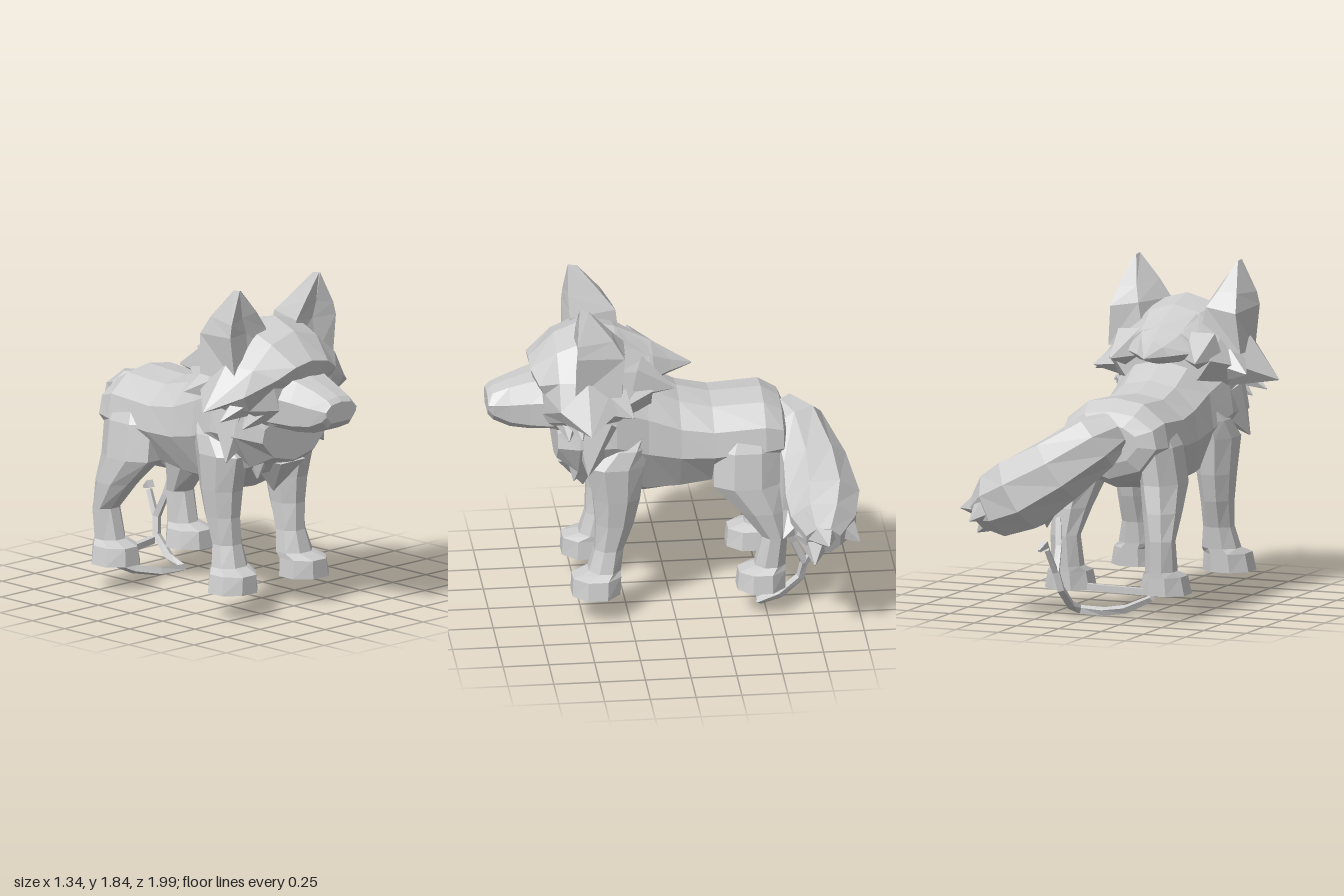
import * as THREE from 'three';

const C = -0.125; // x of the animal's plane of symmetry
const fur = new THREE.MeshStandardMaterial({ color: 0xcccccc, flatShading: true });
fur.name = 'greyFur';
const V = (x, y, z) => new THREE.Vector3(x, y, z);

// Closed skin through rings of equal point count; winding is set from the signed volume
function loft(name, rings) {
  const tris = [];
  const n = rings[0].length;
  const mid = r => r.reduce((a, p) => a.add(p), V(0, 0, 0)).divideScalar(n);
  const first = mid(rings[0]), last = mid(rings[rings.length - 1]);
  for (let j = 0; j < n; j++) {
    const k = (j + 1) % n;
    tris.push([first, rings[0][k], rings[0][j]]);
    for (let i = 0; i + 1 < rings.length; i++) {
      const a = rings[i], b = rings[i + 1];
      tris.push([a[j], a[k], b[k]], [a[j], b[k], b[j]]);
    }
    const e = rings[rings.length - 1];
    tris.push([last, e[j], e[k]]);
  }
  let volume = 0;
  for (const [a, b, c] of tris) {
    volume += a.clone().sub(first).dot(b.clone().sub(first).cross(c.clone().sub(first)));
  }
  const pts = [];
  for (const [a, b, c] of tris) pts.push(...(volume > 0 ? [a, b, c] : [a, c, b]));
  const geo = new THREE.BufferGeometry().setFromPoints(pts);
  geo.computeVertexNormals();
  const mesh = new THREE.Mesh(geo, fur);
  mesh.name = name;
  return mesh;
}

// Left-right symmetric ring near depth z from half-profile points [dx, y, dz], crown to chin
function section(z, half) {
  const right = half.map(([dx, y, dz = 0]) => V(C + dx, y, z + dz));
  const left = half.slice(1, -1).reverse().map(([dx, y, dz = 0]) => V(C - dx, y, z + dz));
  return [...right, ...left];
}

// Tube through points [x, y, z, radius]
function tube(name, path, sides, ref) {
  const p = path.map(a => V(a[0], a[1], a[2]));
  const rings = p.map((c, i) => {
    const t = p[Math.min(i + 1, p.length - 1)].clone().sub(p[Math.max(i - 1, 0)]).normalize();
    const u = ref.clone().cross(t).normalize();
    const v = t.clone().cross(u);
    return Array.from({ length: sides }, (_, j) => {
      const a = ((j + 0.5) / sides) * Math.PI * 2, r = path[i][3];
      return c.clone().addScaledVector(u, r * Math.cos(a)).addScaledVector(v, r * Math.sin(a));
    });
  });
  return loft(name, rings);
}

// Pointed tuft of fur
function tuft(name, base, tip, r) {
  return tube(name, [[...base, r], [...tip, 0.004]], 5, V(0.31, 0.9, 0.3));
}

// Leg from rows of [y, dx, z, rx, rz]
function leg(name, s, rows) {
  return loft(name, rows.map(([y, dx, z, rx, rz]) =>
    Array.from({ length: 8 }, (_, j) => {
      const a = ((j + 0.5) / 8) * Math.PI * 2;
      return V(C + s * dx + 1.05 * rx * Math.cos(a), y, z + 1.05 * rz * Math.sin(a));
    })));
}

export function createModel() {
  const g = new THREE.Group();
  g.name = 'wolf';

  // Trunk: z, top, bottom, half width
  const trunk = [
    [0.63, 1.14, 0.87, 0.24], [0.52, 1.32, 0.77, 0.35], [0.32, 1.42, 0.67, 0.34],
    [0.14, 1.34, 0.62, 0.3], [-0.04, 1.24, 0.64, 0.29], [-0.22, 1.195, 0.68, 0.3],
    [-0.5, 1.21, 0.72, 0.31], [-0.6, 1.15, 0.78, 0.28], [-0.63, 1.08, 0.86, 0.18]];
  g.add(loft('trunk', trunk.map(([z, top, low, w]) => {
    const h = top - low;
    return section(z, [[0, top], [w * 0.52, top - h * 0.05], [w * 0.92, top - h * 0.25],
      [w, top - h * 0.52], [w * 0.64, low + h * 0.14], [0, low]]);
  })));

  // Head with wide pointed cheeks and a brow that overhangs the eyes
  g.add(loft('head', [
    section(0.12, [[0, 1.52], [0.12, 1.48], [0.21, 1.42], [0.29, 1.34], [0.22, 1.24], [0.12, 1.15], [0, 1.12]]),
    section(0.3, [[0, 1.61], [0.15, 1.57], [0.28, 1.46], [0.39, 1.29], [0.31, 1.18], [0.15, 1.1], [0, 1.08]]),
    section(0.48, [[0, 1.65], [0.18, 1.6], [0.37, 1.44], [0.545, 1.2], [0.4, 1.2], [0.22, 1.09], [0, 1.05]]),
    section(0.63, [[0, 1.59], [0.17, 1.54], [0.31, 1.42], [0.38, 1.28], [0.32, 1.19, -0.02], [0.2, 1.09, -0.01], [0, 1.07]]),
    section(0.77, [[0, 1.45], [0.12, 1.43], [0.22, 1.37, -0.04], [0.22, 1.32, -0.07], [0.19, 1.19, -0.06], [0.11, 1.1, -0.04], [0, 1.07, -0.04]]),
  ]));

  // Mane sloping from the crown to a point over the shoulders
  g.add(loft('nape', [
    section(0.28, [[0, 1.6], [0.14, 1.57], [0.25, 1.46], [0.18, 1.36], [0, 1.3]]),
    section(0.1, [[0, 1.515], [0.11, 1.47], [0.2, 1.38], [0.12, 1.33], [0, 1.31]]),
    section(0.0, [[0, 1.45], [0.06, 1.42], [0.09, 1.37], [0.05, 1.34], [0, 1.33]]),
    section(-0.12, [[0, 1.375], [0.004, 1.373], [0.005, 1.37], [0.004, 1.367], [0, 1.365]]),
  ]));

  // Blunt muzzle widening into the face
  const muzzle = (z, w, top, low) => section(z, [[0, top], [w * 0.65, top - 0.01],
    [w, top - (top - low) * 0.4], [w * 0.95, low + 0.04], [w * 0.65, low], [0, low]]);
  g.add(loft('muzzle', [muzzle(0.62, 0.23, 1.39, 1.08), muzzle(0.77, 0.17, 1.355, 1.07),
    muzzle(0.88, 0.14, 1.32, 1.08), muzzle(0.97, 0.125, 1.285, 1.12), muzzle(0.998, 0.115, 1.26, 1.15)]));

  for (const s of [1, -1]) {
    const side = s > 0 ? 'left' : 'right';
    const P = (dx, y, z) => V(C + s * dx, y, z);
    const A = (dx, y, z) => [C + s * dx, y, z];

    // Ear, almost flat at the front
    g.add(loft(side + 'Ear', [
      [P(0.1, 1.48, 0.53), P(0.26, 1.4, 0.54), P(0.37, 1.35, 0.55), P(0.39, 1.36, 0.3), P(0.16, 1.42, 0.25)],
      [P(0.115, 1.61, 0.53), P(0.25, 1.6, 0.515), P(0.4, 1.6, 0.545), P(0.37, 1.58, 0.28), P(0.2, 1.61, 0.27)],
      [P(0.185, 1.71, 0.53), P(0.28, 1.69, 0.515), P(0.385, 1.67, 0.54), P(0.35, 1.68, 0.34), P(0.24, 1.69, 0.34)],
      [P(0.296, 1.845, 0.52), P(0.3, 1.845, 0.515), P(0.305, 1.845, 0.52), P(0.303, 1.84, 0.47), P(0.298, 1.84, 0.47)],
    ]));

    // Cheek, neck and chest fur
    const tufts = [
      [[0.3, 1.22, 0.54], [0.45, 1.14, 0.52], 0.08],
      [[0.22, 1.17, 0.58], [0.34, 1.09, 0.58], 0.08],
      [[0.26, 1.31, 0.36], [0.45, 1.26, 0.24], 0.15],
      [[0.2, 1.38, 0.2], [0.25, 1.34, 0.0], 0.13],
      [[0.23, 1.12, 0.42], [0.37, 0.89, 0.48], 0.17],
      [[0.14, 0.97, 0.5], [0.19, 0.78, 0.54], 0.12],
    ];
    for (const [b, t, r] of tufts) g.add(tuft(side + 'RuffTuft', A(...b), A(...t), r));

    // Legs with paws that reach forward
    g.add(leg(side + 'FrontLeg', s, [
      [1.06, 0.24, 0.2, 0.06, 0.05], [1.0, 0.245, 0.26, 0.09, 0.12], [0.9, 0.25, 0.325, 0.11, 0.165],
      [0.7, 0.245, 0.315, 0.1, 0.13], [0.55, 0.245, 0.325, 0.085, 0.105], [0.4, 0.24, 0.355, 0.082, 0.08],
      [0.28, 0.245, 0.38, 0.105, 0.09], [0.25, 0.265, 0.425, 0.125, 0.135], [0.15, 0.27, 0.43, 0.14, 0.135]]));
    g.add(leg(side + 'HindLeg', s, [
      [1.1, 0.17, -0.42, 0.08, 0.13], [0.95, 0.215, -0.4, 0.11, 0.185], [0.75, 0.24, -0.395, 0.115, 0.185],
      [0.6, 0.265, -0.48, 0.1, 0.125], [0.45, 0.28, -0.545, 0.08, 0.07], [0.28, 0.275, -0.52, 0.085, 0.085],
      [0.25, 0.28, -0.475, 0.115, 0.13], [0.15, 0.28, -0.47, 0.135, 0.135]]));
  }
  g.add(tuft('chestTuft', [C, 0.87, 0.49], [C, 0.67, 0.47], 0.16));

  // Bushy tail swept to the left
  g.add(tube('tail', [[-0.16, 1.05, -0.6, 0.11], [-0.08, 0.99, -0.68, 0.165], [0.11, 0.835, -0.755, 0.195],
    [0.31, 0.7, -0.785, 0.22], [0.45, 0.63, -0.78, 0.19], [0.56, 0.585, -0.77, 0.1]], 8, V(0, 1, 0)));
  const tips = [
    [[0.48, 0.64, -0.76], [0.67, 0.6, -0.79], 0.14], [[0.44, 0.6, -0.74], [0.6, 0.46, -0.72], 0.13],
    [[0.32, 0.62, -0.74], [0.38, 0.48, -0.83], 0.14], [[0.43, 0.67, -0.83], [0.54, 0.56, -0.97], 0.14],
    [[0.34, 0.66, -0.68], [0.48, 0.57, -0.56], 0.13], [[0.17, 0.72, -0.72], [0.22, 0.5, -0.65], 0.12]];
  for (const [b, t, r] of tips) g.add(tuft('tailTuft', b, t, r));

  // Thin loose cord and bar around the hind paws
  const ref = V(0.3, 0.3, 0.9);
  g.add(tube('cord', [[0.17, 0.55, -0.61, 0.02], [0.15, 0.4, -0.65, 0.022], [0.14, 0.27, -0.71, 0.025],
    [0.12, 0.17, -0.69, 0.025], [0.11, 0.07, -0.58, 0.025], [0.1, 0.03, -0.47, 0.025],
    [-0.05, 0.03, -0.49, 0.025], [-0.2, 0.06, -0.54, 0.025], [-0.38, 0.14, -0.6, 0.02]], 4, ref));
  g.add(tube('cordBranch', [[0.14, 0.27, -0.72, 0.02], [0.16, 0.4, -0.79, 0.018]], 4, ref));
  g.add(tube('cordEnd', [[0.17, 0.43, -0.79, 0.03], [0.18, 0.4, -0.85, 0.01]], 4, V(0, 1, 0)));
  g.add(tube('bar', [[0, 0.18, -0.6, 0.025], [-0.39, 0.16, -0.54, 0.025]], 4, V(0, 1, 0)));
  return g;
}
